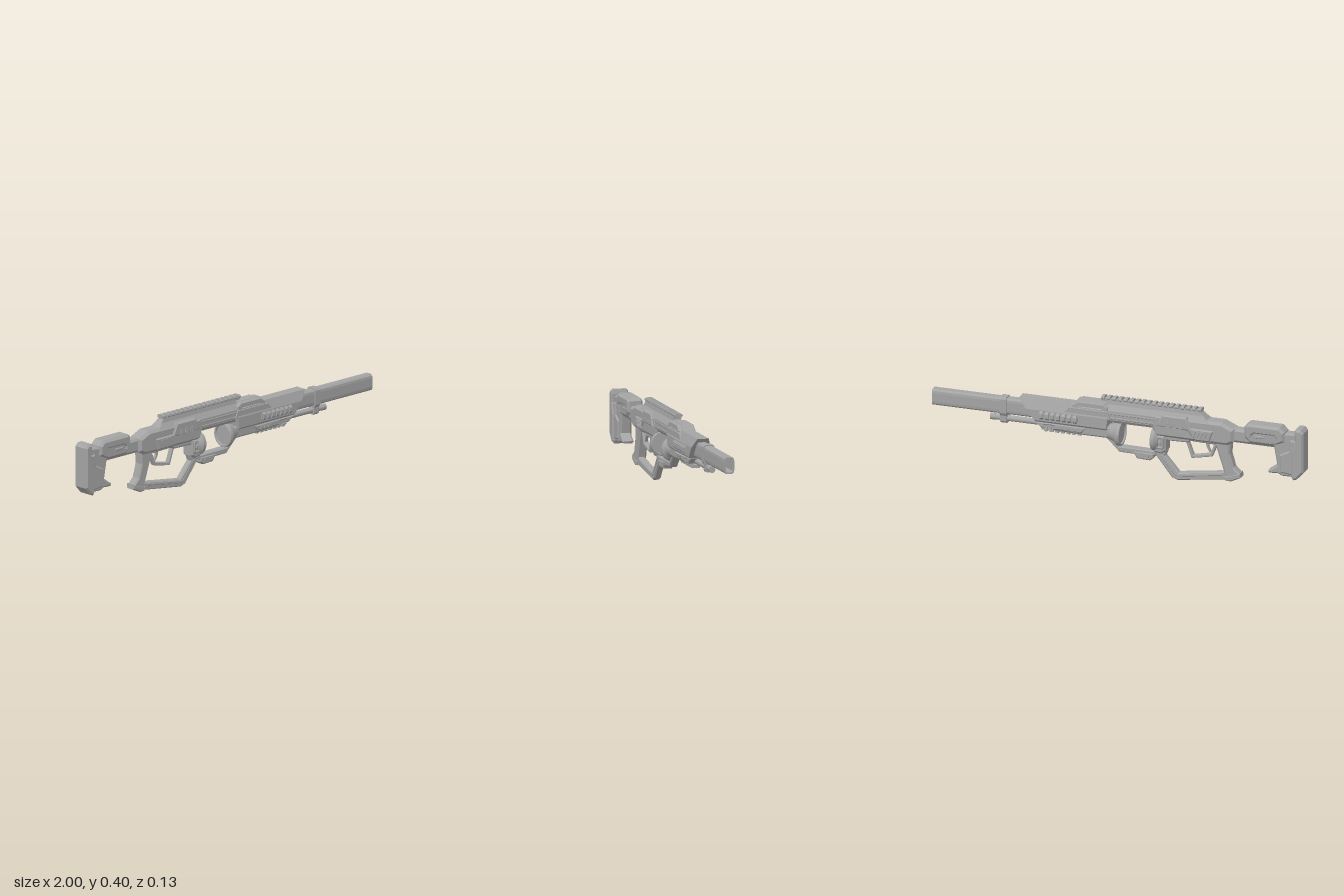
import * as THREE from 'three';

export function createModel() {
  const model = new THREE.Group();
  model.name = 'rifle';
  const steel = new THREE.MeshStandardMaterial({ color: 0xa4a4a4 });
  steel.name = 'steel grey';

  const add = (name, geo) => {
    const mesh = new THREE.Mesh(geo, steel);
    mesh.name = name;
    model.add(mesh);
    return mesh;
  };
  const shapeOf = (pts, holes = []) => {
    const s = new THREE.Shape(pts.map(p => new THREE.Vector2(...p)));
    for (const h of holes) s.holes.push(new THREE.Path(h.map(p => new THREE.Vector2(...p))));
    return s;
  };
  // Side profile (x, y), extruded across z with chamfered edges
  const slab = (name, pts, half, bevel = 0, holes = []) => {
    const geo = new THREE.ExtrudeGeometry(shapeOf(pts, holes), {
      depth: 2 * (half - bevel), bevelEnabled: bevel > 0, bevelThickness: bevel,
      bevelSize: bevel, bevelOffset: -bevel, bevelSegments: 1,
    });
    geo.translate(0, 0, bevel - half);
    return add(name, geo);
  };
  // Half section (z, y) from top to bottom, mirrored and run along x; ends may slant with y
  const bar = (name, half, x0, x1, slant0 = 0, slant1 = 0, holes = []) => {
    const pts = [...half, ...half.slice().reverse().map(([z, y]) => [-z, y])];
    const geo = new THREE.ExtrudeGeometry(shapeOf(pts, holes), { depth: 1, bevelEnabled: false });
    geo.rotateY(Math.PI / 2);
    const p = geo.attributes.position, top = half[0][1];
    for (let i = 0; i < p.count; i++) {
      const drop = top - p.getY(i);
      p.setX(i, p.getX(i) < 0.5 ? x0 - slant0 * drop : x1 - slant1 * drop);
    }
    geo.computeVertexNormals();
    return add(name, geo);
  };
  const tube = (name, x0, x1, r0, r1, y, sides = 32) => {
    const geo = new THREE.CylinderGeometry(r1, r0, x1 - x0, sides);
    geo.rotateZ(-Math.PI / 2);
    geo.translate((x0 + x1) / 2, y, 0);
    return add(name, geo);
  };
  const box = (name, x, y, z, w, h, d) => {
    const mesh = add(name, new THREE.BoxGeometry(w, h, d));
    mesh.position.set(x, y, z);
    return mesh;
  };
  const rect = (x0, y0, x1, y1, c) => [[x0 + c, y0], [x1 - c, y0], [x1, y0 + c], [x1, y1 - c],
    [x1 - c, y1], [x0 + c, y1], [x0, y1 - c], [x0, y0 + c]];

  // Barrel, muzzle opening, clamp and lower tube
  bar('barrel', [[0.016, 0.325], [0.024, 0.317], [0.026, 0.305], [0.026, 0.26], [0.024, 0.248], [0.016, 0.24]],
    0.4, 1, 0, 0, [rect(-0.017, 0.247, 0.017, 0.318, 0.008)]);
  bar('barrelClamp', [[0.02, 0.331], [0.03, 0.32], [0.03, 0.245], [0.02, 0.23], [0.02, 0.2], [0.012, 0.19]], 0.6, 0.635);
  tube('lowerTube', 0.38, 0.69, 0.015, 0.015, 0.213, 20);
  tube('lowerTubeTip', 0.665, 0.692, 0.017, 0.017, 0.213, 20);

  // Handguard with slanted front
  bar('handguard', [[0.03, 0.345], [0.05, 0.295], [0.05, 0.24], [0.04, 0.23]], 0.04, 0.53, -0.15, 0.83);
  bar('handguardHump', [[0.019, 0.37], [0.032, 0.345], [0.047, 0.33], [0.047, 0.29]], 0.065, 0.22, 0.4, -0.9);
  slab('handleFrame', [[0.05, 0.35], [0.075, 0.367], [0.21, 0.367], [0.245, 0.342], [0.245, 0.325], [0.07, 0.318], [0.05, 0.328]],
    0.044, 0.004, [[[0.075, 0.346], [0.2, 0.346], [0.225, 0.336], [0.08, 0.333]]]);
  slab('lowerHandguard', [[0.03, 0.245], [0.44, 0.245], [0.4, 0.203], [0.33, 0.19], [0.17, 0.185], [0.05, 0.185]], 0.036, 0.008);
  slab('lowerHandguardPlate', [[0.17, 0.225], [0.44, 0.228], [0.41, 0.2], [0.19, 0.198]], 0.043, 0.005,
    [rect(0.34, 0.207, 0.39, 0.218, 0.004)]);
  for (let i = 0; i < 3; i++) {
    const x = 0.205 + i * 0.027;
    slab('lowerVent', [[x, 0.204], [x + 0.015, 0.204], [x + 0.025, 0.219], [x + 0.01, 0.219]], 0.046);
  }

  // Side and under accessory rails
  for (const s of [-1, 1]) box('sideRail', 0.31, 0.272, s * 0.051, 0.21, 0.026, 0.012);
  box('underRail', 0.3, 0.187, 0, 0.23, 0.014, 0.03);
  for (let i = 0; i < 7; i++) {
    const x = 0.22 + i * 0.03;
    for (const s of [-1, 1]) {
      const tooth = slab('sideRailTooth', [[0, -0.022], [0.012, -0.01], [0.012, 0.01], [0, 0.022], [-0.008, 0.012], [-0.008, -0.012]], 0.009);
      tooth.rotation.y = -s * Math.PI / 2;
      if (s > 0) tooth.rotation.y = -Math.PI / 2;
      else tooth.rotation.y = Math.PI / 2;
      tooth.position.set(x, 0.272, s * 0.055);
    }
    box('underRailTooth', x - 0.01, 0.181, 0, 0.018, 0.012, 0.042);
  }

  // Receiver
  slab('receiverRear', [[-0.625, 0.318], [-0.56, 0.347], [-0.2, 0.347], [-0.18, 0.3], [-0.2, 0.232], [-0.59, 0.23], [-0.625, 0.25]], 0.043, 0.014);
  bar('upperReceiver', [[0.018, 0.385], [0.022, 0.365], [0.04, 0.335], [0.04, 0.3]], -0.44, 0.06, 1, 0);
  bar('receiverBridge', [[0.03, 0.345], [0.034, 0.335], [0.034, 0.285], [0.024, 0.27]], -0.24, 0.07);
  for (const y of [0.298, 0.322]) slab('bridgeRib', rect(-0.2, y - 0.006, 0.06, y + 0.006, 0.002), 0.042, 0.003);
  slab('sidePanel', [[-0.52, 0.3], [-0.4, 0.302], [-0.375, 0.355], [-0.245, 0.355], [-0.21, 0.29], [-0.38, 0.285], [-0.42, 0.238], [-0.5, 0.238]], 0.05, 0.008);
  for (let i = 0; i < 3; i++) {
    const x = -0.345 + i * 0.036;
    slab('panelPort', [[x - 0.013, 0.292], [x + 0.008, 0.292], [x + 0.013, 0.3], [x + 0.007, 0.318], [x - 0.006, 0.318], [x - 0.013, 0.302]], 0.053, 0,
      [[[x - 0.008, 0.297], [x + 0.006, 0.297], [x + 0.004, 0.312], [x - 0.004, 0.312]]]);
  }
  for (let i = 0; i < 4; i++) {
    const x = -0.49 + i * 0.02;
    slab('panelVent', [[x, 0.29], [x + 0.011, 0.29], [x + 0.026, 0.255], [x + 0.015, 0.255]], 0.054, 0.002);
  }

  // Top rail
  bar('railBase', [[0.016, 0.385], [0.02, 0.392], [0.018, 0.396], [0.018, 0.378]].slice(1), -0.44, 0.085);
  for (let i = 0; i < 18; i++) {
    const x = -0.445 + i * 0.0306;
    bar('railTooth', [[0.015, 0.403], [0.022, 0.397], [0.022, 0.391], [0.014, 0.383]], x, x + 0.017);
  }

  // Chamber: two round cups facing an open gap, joined by the lower bridge
  const cup = [[0.001, 0], [0.05, 0], [0.052, 0.008], [0.06, 0.008], [0.063, 0.004], [0.063, -0.012], [0.045, -0.03], [0.001, -0.03]];
  for (const [x, s] of [[-0.19, 1], [-0.008, -1]]) {
    const geo = new THREE.LatheGeometry(cup.slice().reverse().map(p => new THREE.Vector2(...p)), 36).toNonIndexed();
    geo.computeVertexNormals();
    geo.rotateZ(-s * Math.PI / 2);
    geo.translate(x, 0.207, 0);
    add('chamberCup', geo);
  }
  tube('chamberCone', 0.005, 0.065, 0.055, 0.034, 0.212);
  slab('chamberBlock', [[-0.26, 0.24], [-0.195, 0.24], [-0.195, 0.145], [-0.235, 0.138], [-0.26, 0.155]], 0.036, 0.008);
  slab('latchFrame', rect(-0.25, 0.165, -0.205, 0.232, 0.008), 0.042, 0.004, [rect(-0.239, 0.177, -0.216, 0.222, 0.003)]);
  slab('latchButton', rect(-0.236, 0.19, -0.219, 0.21, 0.003), 0.044, 0.003);
  slab('lowerBridge', [[-0.21, 0.15], [-0.2, 0.12], [-0.165, 0.112], [-0.005, 0.115], [0.01, 0.13], [0.065, 0.182],
    [0.04, 0.2], [-0.005, 0.145], [-0.185, 0.142]], 0.022, 0.005);
  slab('bridgeFoot', [[-0.19, 0.13], [-0.08, 0.13], [-0.1, 0.093], [-0.17, 0.09], [-0.19, 0.105]], 0.026, 0.006);
  for (let i = 0; i < 3; i++) box('footRib', -0.158 + i * 0.022, 0.111, 0, 0.01, 0.014, 0.056);

  // Grip, hand guard and trigger
  slab('grip', [[-0.605, 0.245], [-0.515, 0.24], [-0.535, 0.18], [-0.565, 0.09], [-0.58, 0.04], [-0.6, 0.035], [-0.655, 0.06],
    [-0.65, 0.08], [-0.62, 0.11], [-0.6, 0.18]], 0.026, 0.009);
  slab('gripCap', [[-0.655, 0.083], [-0.57, 0.057], [-0.575, 0.035], [-0.605, 0.033], [-0.657, 0.058]], 0.028, 0.006);
  slab('handGuard', [[-0.6, 0.04], [-0.315, 0.001], [-0.285, 0.012], [-0.192, 0.13], [-0.2, 0.155], [-0.262, 0.155], [-0.25, 0.125],
    [-0.322, 0.042], [-0.57, 0.078]], 0.018, 0.006);
  slab('handGuardRidge', [[-0.56, 0.056], [-0.317, 0.02], [-0.3, 0.027], [-0.22, 0.128], [-0.235, 0.128], [-0.31, 0.034], [-0.56, 0.068]], 0.02, 0.003);
  slab('triggerGuard', [[-0.535, 0.236], [-0.5, 0.15], [-0.39, 0.128], [-0.352, 0.236]], 0.013, 0.003,
    [[[-0.515, 0.225], [-0.49, 0.164], [-0.4, 0.145], [-0.37, 0.225]]]);
  slab('trigger', [[-0.485, 0.235], [-0.465, 0.235], [-0.468, 0.2], [-0.485, 0.17], [-0.492, 0.173], [-0.48, 0.2]], 0.007);
  slab('triggerHousing', [[-0.53, 0.245], [-0.25, 0.245], [-0.25, 0.212], [-0.375, 0.215], [-0.39, 0.225], [-0.52, 0.222]], 0.03, 0.006);

  // Stock
  bar('stockTube', [[0.018, 0.32], [0.028, 0.308], [0.028, 0.26], [0.018, 0.247]], -0.9, -0.6);
  const cheek = [[-0.897, 0.335], [-0.87, 0.36], [-0.7, 0.36], [-0.682, 0.345], [-0.682, 0.288], [-0.71, 0.26], [-0.835, 0.26], [-0.897, 0.285]];
  slab('cheekCore', cheek, 0.034, 0.01);
  slab('cheekRest', cheek, 0.041, 0.012, [rect(-0.85, 0.283, -0.725, 0.309, 0.01)]);
  slab('cheekSlotBar', rect(-0.79, 0.289, -0.733, 0.303, 0.005), 0.038, 0.003);
  slab('stockWeb', [[-0.97, 0.335], [-0.89, 0.33], [-0.835, 0.265], [-0.855, 0.155], [-0.805, 0.12], [-0.81, 0.108],
    [-0.86, 0.11], [-0.88, 0.1], [-0.97, 0.1]], 0.029, 0.008);
  slab('webPanel', [[-0.96, 0.3], [-0.925, 0.3], [-0.92, 0.24], [-0.87, 0.215], [-0.875, 0.12], [-0.96, 0.11]], 0.037, 0.007);
  slab('buttPad', [[-1, 0.345], [-0.985, 0.362], [-0.957, 0.362], [-0.952, 0.34], [-0.955, 0.3], [-0.935, 0.24], [-0.935, 0.105],
    [-0.945, 0.088], [-0.965, 0.095], [-1, 0.135]], 0.045, 0.01);
  return model;
}
